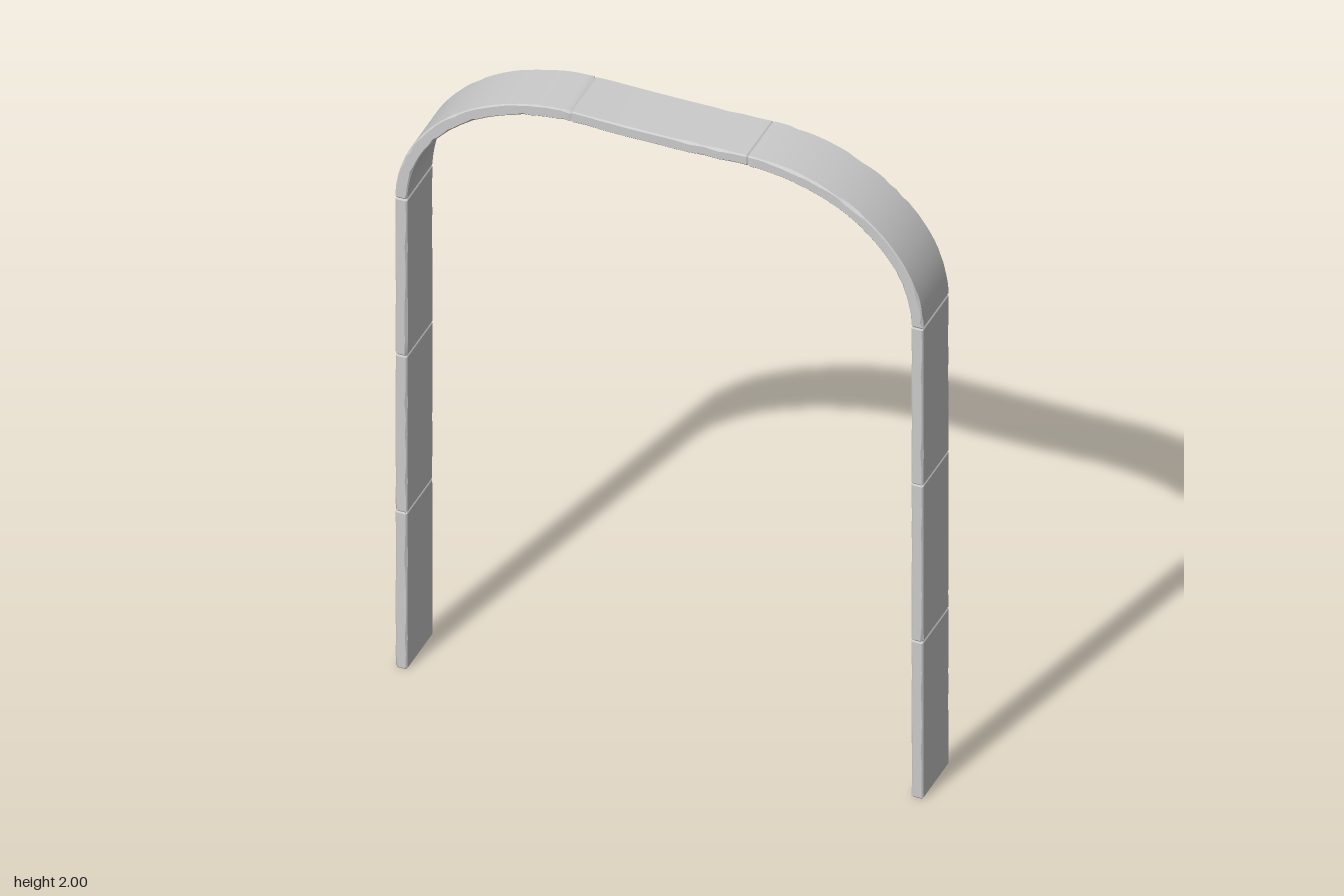
import * as THREE from 'three';
import { toCreasedNormals } from 'three/addons/utils/BufferGeometryUtils.js';

const HALF_T = 0.0175, HALF_W = 0.09;   // half thickness and half depth of the planks
const MID_X = 0.7575, SPRING_Y = 1.567, CROWN_X = 0.26, CROWN_Y = 1.9825;
const material = new THREE.MeshStandardMaterial({ color: 0xcccccc });

function seeded(seed) {
  let s = seed * 7919 + 13;
  return () => (s = (s * 16807) % 2147483647) / 2147483647;
}

// Worn plank swept along a path; path(t) gives the centre (x, y) and outward normal (nx, ny)
function plank(name, path, steps, seed) {
  const rnd = seeded(seed);
  rnd();
  const pos = [], index = [], ts = [0, 0.008];
  for (let i = 1; i < steps; i++) ts.push(i / steps);
  ts.push(0.992, 1);

  ts.forEach((t, k) => {
    const [x, y, nx, ny] = path(t);
    const inset = k === 0 || k === ts.length - 1 ? 0.003 : 0;
    const h = HALF_T - inset, w = HALF_W - inset;
    // Four corners, each chipped by a slightly different amount
    for (const [sz, sn] of [[1, -1], [1, 1], [-1, 1], [-1, -1]]) {
      const c = 0.003 + 0.005 * rnd() ** 3;
      const onSide = [sz * w, sn * (h - c)], onFace = [sz * (w - c), sn * h];
      for (const [z, n] of sz * sn < 0 ? [onFace, onSide] : [onSide, onFace])
        pos.push(x + nx * n, y + ny * n, z);
    }
  });

  const last = (ts.length - 1) * 8;
  for (let a = 0; a < last; a += 8)
    for (let i = 0; i < 8; i++) {
      const j = (i + 1) % 8;
      index.push(a + i, a + j, a + 8 + j, a + i, a + 8 + j, a + 8 + i);
    }
  for (let i = 1; i < 7; i++)
    index.push(0, i + 1, i, last, last + i, last + i + 1);

  const geometry = new THREE.BufferGeometry();
  geometry.setAttribute('position', new THREE.Float32BufferAttribute(pos, 3));
  geometry.setIndex(index);
  const mesh = new THREE.Mesh(toCreasedNormals(geometry, 0.5), material);
  mesh.name = name;
  return mesh;
}

export function createModel() {
  const group = new THREE.Group();
  group.name = 'archFrame';

  for (const side of [1, -1]) {
    const label = side > 0 ? 'left' : 'right';

    // Three stacked planks per post
    const length = SPRING_Y / 3;
    for (let i = 0; i < 3; i++) {
      const path = t => [side * MID_X, length * (i + (side > 0 ? t : 1 - t)), side, 0];
      group.add(plank(`${label}Post${i + 1}`, path, 10, 5 + i + side * 2));
    }

    // Quarter-ellipse bend between post and crown
    const a = MID_X - CROWN_X, b = CROWN_Y - SPRING_Y;
    const bend = t => {
      const angle = (side > 0 ? t : 1 - t) * Math.PI / 2;
      const c = Math.cos(angle), s = Math.sin(angle);
      const len = Math.hypot(c / a, s / b);
      return [side * (CROWN_X + a * c), SPRING_Y + b * s, side * c / a / len, s / b / len];
    };
    group.add(plank(`${label}Bend`, bend, 32, 20 + side));
  }

  // Crown plank with a faint sag
  const crown = t => [CROWN_X * (1 - 2 * t), CROWN_Y - 0.004 * Math.sin(Math.PI * t), 0, 1];
  group.add(plank('crown', crown, 12, 31));

  return group;
}
